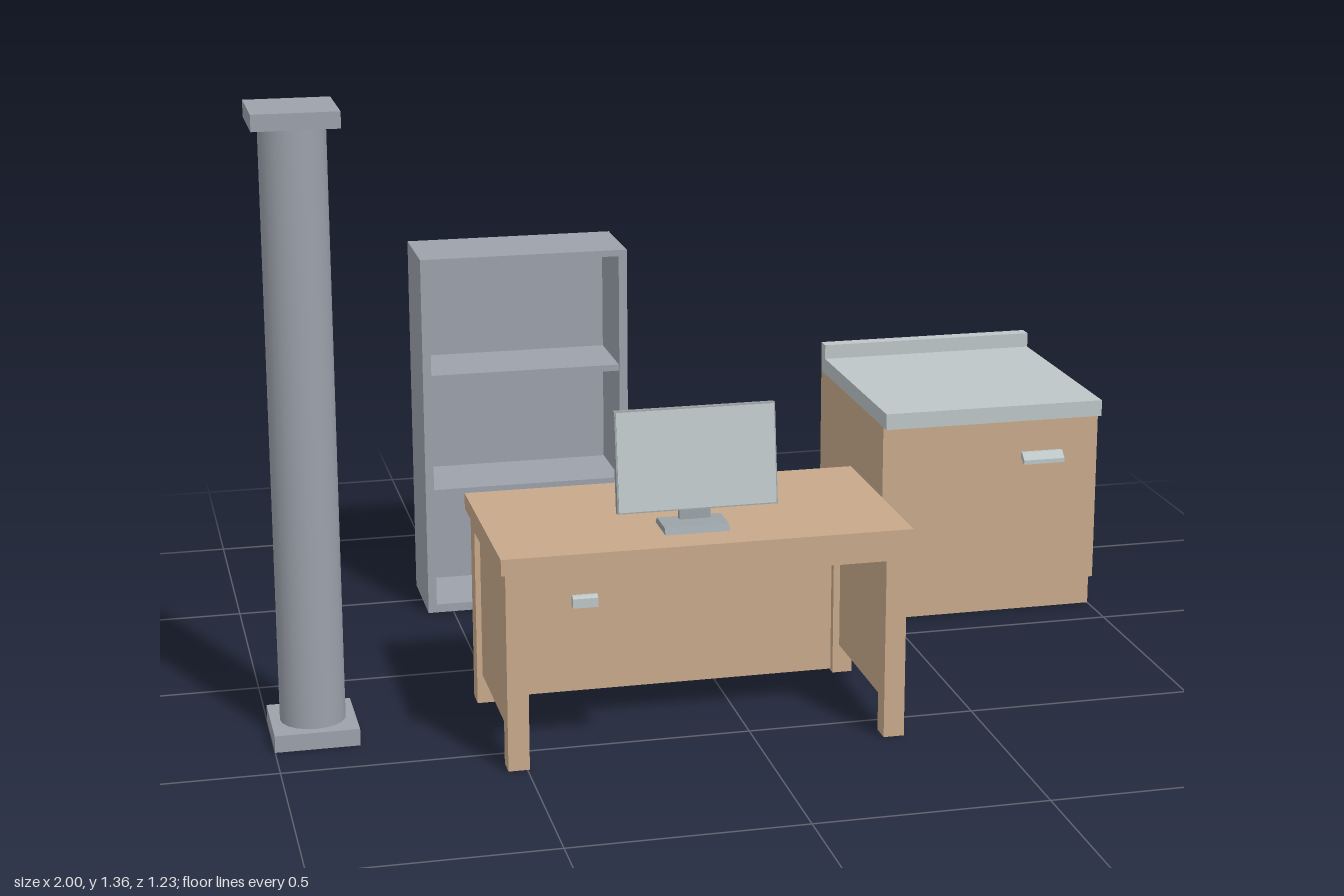
import * as THREE from 'three';

const material = (name, color) => {
  const m = new THREE.MeshStandardMaterial({ color });
  m.name = name;
  return m;
};

export function createModel() {
  const wood = material('wood', 0xc8a98b);
  const grey = material('blue grey', 0x9ca1ab);
  const pale = material('pale grey', 0xbdc6c7);
  const metal = material('monitor grey', 0x9ba4a8);

  const model = new THREE.Group();
  model.name = 'officeFurniture';

  const group = (name) => {
    const g = new THREE.Group();
    g.name = name;
    model.add(g);
    return g;
  };
  const add = (parent, name, geometry, mat) => {
    const mesh = new THREE.Mesh(geometry, mat);
    mesh.name = name;
    parent.add(mesh);
    return mesh;
  };
  // Box given by its limits on each axis
  const box = (parent, name, mat, x0, x1, y0, y1, z0, z1) => {
    const mesh = add(parent, name, new THREE.BoxGeometry(x1 - x0, y1 - y0, z1 - z0), mat);
    mesh.position.set((x0 + x1) / 2, (y0 + y1) / 2, (z0 + z1) / 2);
    return mesh;
  };
  // Side profile of [z, y] points, extruded along x
  const sideProfile = (parent, name, mat, points, x0, x1) => {
    const shape = new THREE.Shape(points.map(([z, y]) => new THREE.Vector2(-z, y)));
    const geometry = new THREE.ExtrudeGeometry(shape, { depth: x1 - x0, bevelEnabled: false });
    geometry.rotateY(Math.PI / 2);
    const mesh = add(parent, name, geometry, mat);
    mesh.position.x = x0;
    return mesh;
  };

  // Column with square base and cap
  const column = group('column');
  box(column, 'columnBase', grey, -1, -0.82, 0, 0.037, 0.203, 0.387);
  box(column, 'columnCap', grey, -1, -0.82, 1.322, 1.357, 0.203, 0.387);
  const shaft = add(column, 'columnShaft', new THREE.CylinderGeometry(0.07, 0.07, 1.285, 20), grey);
  shaft.position.set(-0.91, 0.6795, 0.295);

  // Bookshelf, open at the front
  const shelf = group('bookshelf');
  box(shelf, 'leftSide', grey, -0.09, -0.07, 0, 0.865, -0.61, -0.4);
  box(shelf, 'rightSide', grey, -0.56, -0.54, 0, 0.865, -0.61, -0.4);
  box(shelf, 'backPanel', grey, -0.54, -0.09, 0, 0.865, -0.61, -0.595);
  box(shelf, 'topPanel', grey, -0.54, -0.09, 0.85, 0.865, -0.595, -0.4);
  box(shelf, 'bottomPanel', grey, -0.54, -0.09, 0, 0.02, -0.595, -0.4);
  for (const y of [0.29, 0.57]) {
    box(shelf, 'shelfBoard', grey, -0.54, -0.09, y, y + 0.015, -0.595, -0.405);
  }

  // Desk
  const desk = group('desk');
  box(desk, 'deskTop', wood, -0.55, 0.325, 0.43, 0.465, 0.143, 0.61);
  for (const x of [-0.54, 0.27]) {
    box(desk, 'frontLeg', wood, x, x + 0.045, 0, 0.43, 0.555, 0.6);
    box(desk, 'backLeg', wood, x, x + 0.045, 0, 0.43, 0.157, 0.205);
    box(desk, 'sideRail', wood, x, x + 0.045, 0.395, 0.43, 0.205, 0.555);
  }
  box(desk, 'leftPanel', wood, 0.285, 0.303, 0.065, 0.395, 0.205, 0.555);
  box(desk, 'rightPanel', wood, -0.528, -0.51, 0.065, 0.395, 0.205, 0.555);
  box(desk, 'backRail', wood, -0.495, 0.27, 0.395, 0.43, 0.157, 0.205);
  box(desk, 'modestyPanel', wood, -0.495, 0.27, 0.003, 0.395, 0.169, 0.187);
  box(desk, 'frontRail', wood, -0.225, 0.27, 0.395, 0.43, 0.565, 0.6);
  box(desk, 'drawer', wood, -0.495, -0.225, 0.295, 0.43, 0.205, 0.6);
  sideProfile(desk, 'drawerHandle', pale,
    [[0.6, 0.35], [0.614, 0.35], [0.614, 0.37], [0.608, 0.375], [0.6, 0.375]], -0.403, -0.35);

  // Monitor, leaning back on its stand
  const monitor = group('monitor');
  sideProfile(monitor, 'standBase', metal,
    [[0.438, 0.465], [0.532, 0.465], [0.524, 0.479], [0.45, 0.479]], -0.19, -0.052);
  sideProfile(monitor, 'standNeck', metal,
    [[0.462, 0.479], [0.476, 0.479], [0.476, 0.55], [0.482, 0.565], [0.478, 0.58], [0.462, 0.555]],
    -0.147, -0.08);
  const display = new THREE.Group();
  display.name = 'display';
  display.position.set(-0.113, 0.614, 0.48);
  display.rotation.x = -0.137;
  monitor.add(display);
  box(display, 'monitorBody', metal, -0.172, 0.172, -0.108, 0.108, -0.01, 0.008);
  box(display, 'screen', pale, -0.169, 0.169, -0.105, 0.105, 0.006, 0.01);

  // Counter cabinet with worktop and splashback
  const cabinet = group('counterCabinet');
  box(cabinet, 'cabinetBody', wood, 0.47, 1, 0.075, 0.482, -0.613, -0.083);
  box(cabinet, 'toeKick', wood, 0.47, 1, 0, 0.075, -0.613, -0.108);
  sideProfile(cabinet, 'worktop', pale,
    [[-0.613, 0.482], [-0.06, 0.482], [-0.06, 0.52], [-0.58, 0.52], [-0.58, 0.555], [-0.613, 0.555]],
    0.47, 1);
  sideProfile(cabinet, 'cabinetHandle', pale,
    [[-0.083, 0.385], [-0.078, 0.385], [-0.066, 0.375], [-0.058, 0.375], [-0.058, 0.385],
      [-0.074, 0.4], [-0.083, 0.4]], 0.81, 0.91);

  return model;
}
